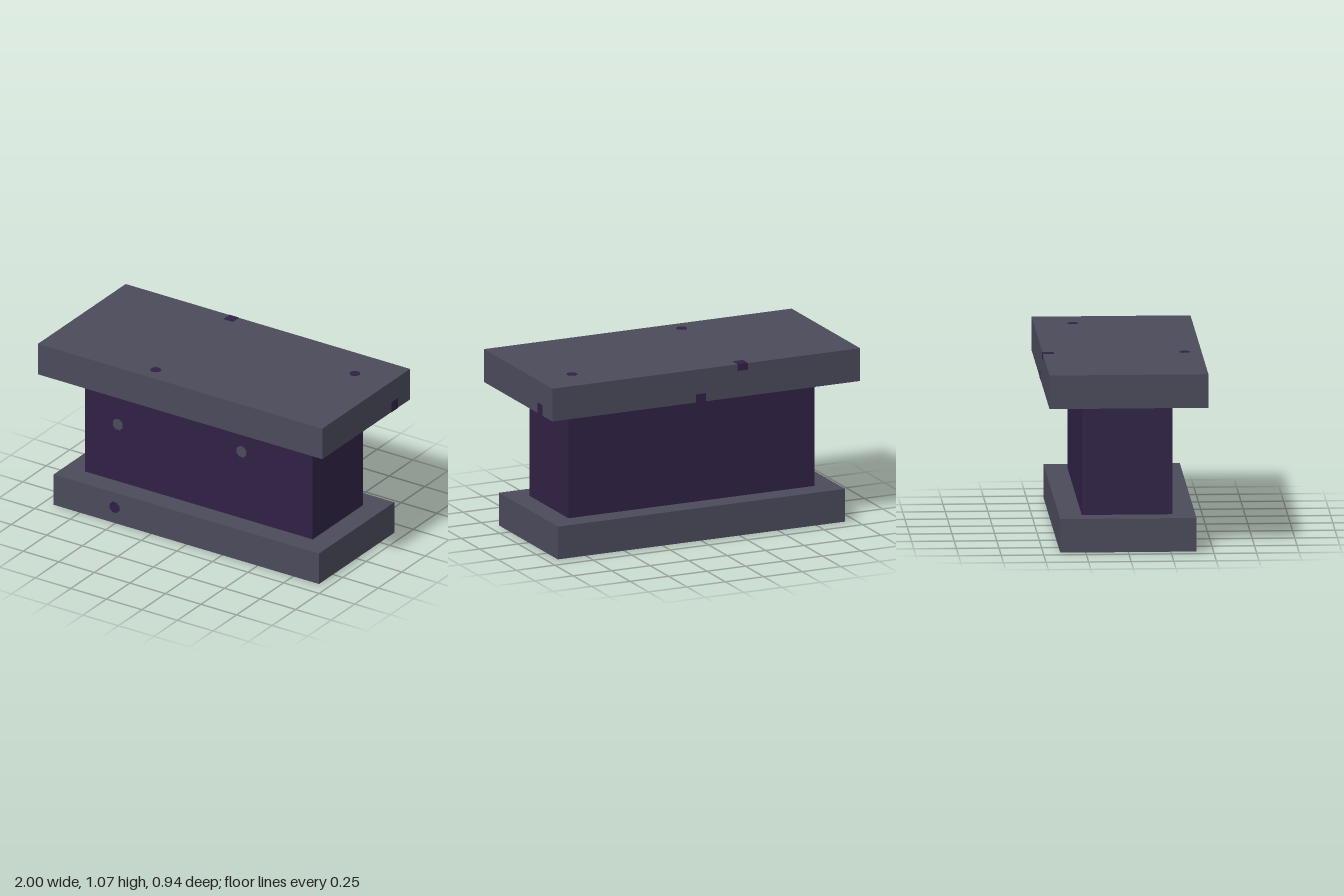
import * as THREE from 'three';

export function createModel() {
  const model = new THREE.Group();
  model.name = 'pedestal';
  const stone = new THREE.MeshStandardMaterial({ color: 0x4a4a5a });
  stone.name = 'slate grey';
  const purple = new THREE.MeshStandardMaterial({ color: 0x2f2144 });
  purple.name = 'dark purple';

  function box(name, material, size, position) {
    const mesh = new THREE.Mesh(new THREE.BoxGeometry(...size), material);
    mesh.name = name;
    mesh.position.set(...position);
    model.add(mesh);
  }

  // Three stacked blocks
  box('base', stone, [1.866, 0.2, 0.8], [0, 0.1, 0]);
  box('body', purple, [1.6, 0.667, 0.533], [0, 0.5335, 0]);
  box('topSlab', stone, [2, 0.2, 0.933], [0, 0.967, 0]);

  // Thin eight-sided specks lying on a face
  function speck(name, material, position, normal, radius = 0.037) {
    const geometry = new THREE.CylinderGeometry(radius, radius, 0.004, 8);
    geometry.rotateY(Math.PI / 8);
    const mesh = new THREE.Mesh(geometry, material);
    mesh.name = name;
    mesh.position.set(...position);
    mesh.quaternion.setFromUnitVectors(new THREE.Vector3(0, 1, 0), new THREE.Vector3(...normal));
    model.add(mesh);
  }
  const front = [0, 0, 1], up = [0, 1, 0], down = [0, -1, 0];
  speck('bodySpeck', stone, [-0.57, 0.573, 0.267], front);
  speck('bodySpeck', stone, [0.3, 0.637, 0.267], front);
  speck('baseSpeck', purple, [-0.505, 0.103, 0.4], front);
  speck('topSpeck', purple, [-0.237, 1.067, 0.367], up, 0.033);
  speck('topSpeck', purple, [0.763, 1.067, -0.237], up, 0.033);
  speck('undersideSpeck', purple, [-0.3, 0.001, 0.1], down, 0.033);
  speck('undersideSpeck', purple, [-0.83, 0.001, -0.03], down, 0.033);

  // Specks that fold over an edge of the top slab: one plate on each face
  const t = 0.004;
  box('sideEdgeSpeck', purple, [t, 0.065, 0.065], [1, 0.9, -0.3]);
  box('sideEdgeSpeck', purple, [0.035, t, 0.065], [0.983, 0.867, -0.3]);
  box('backLowerSpeck', purple, [0.065, 0.05, t], [0.035, 0.892, -0.4665]);
  box('backLowerSpeck', purple, [0.065, t, 0.035], [0.035, 0.867, -0.449]);
  box('backUpperSpeck', purple, [0.065, 0.04, t], [-0.237, 1.047, -0.4665]);
  box('backUpperSpeck', purple, [0.065, t, 0.065], [-0.237, 1.067, -0.434]);

  return model;
}
